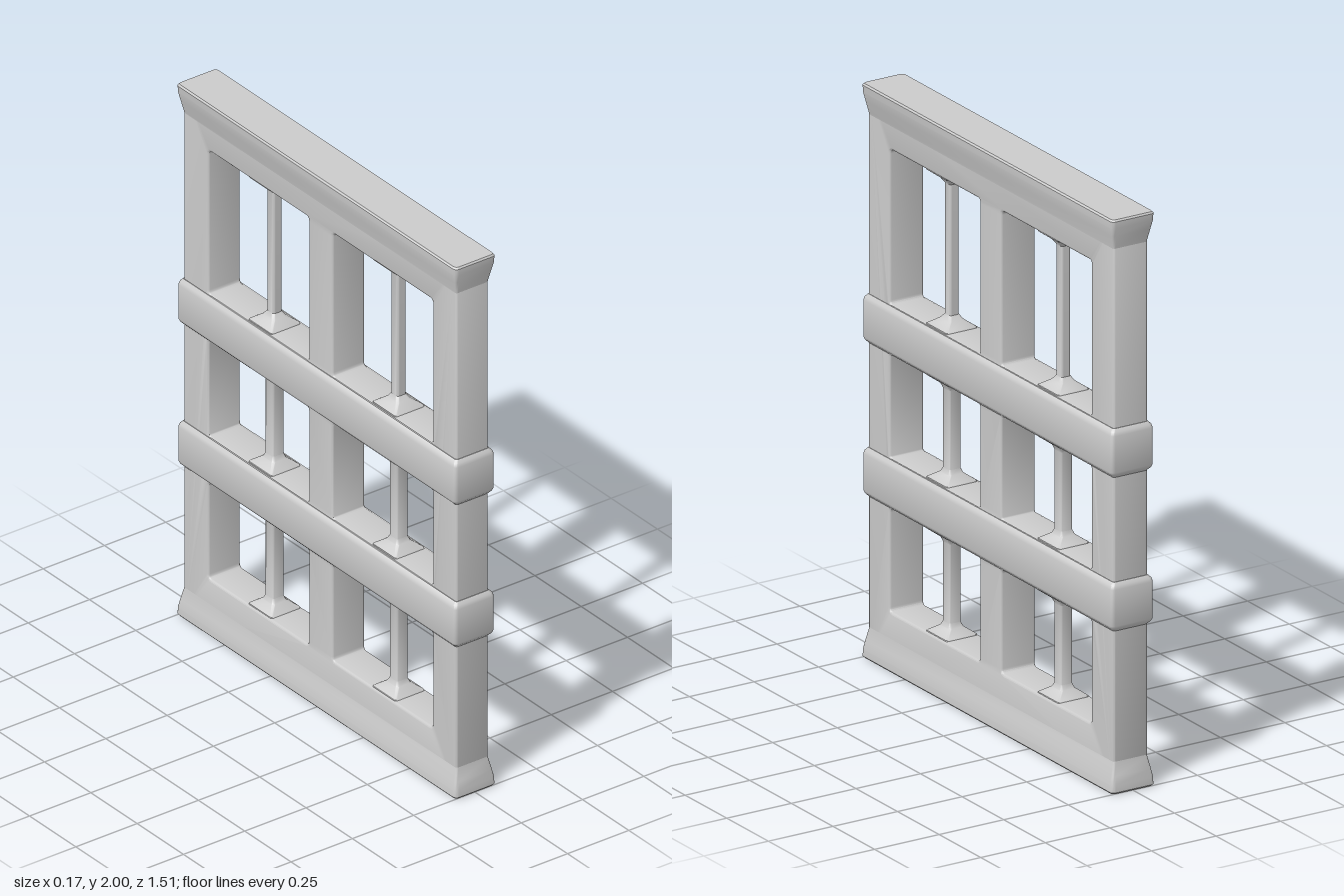
import * as THREE from 'three';
import { toCreasedNormals } from 'three/addons/utils/BufferGeometryUtils.js';

const material = new THREE.MeshStandardMaterial({ color: 0xcccccc });

// Closed solid through rounded-rectangle sections [y, halfX, halfZ, cornerRadius]
function loft(sections, name, z = 0) {
  const steps = 4, n = 4 * (steps + 1);
  const pos = [], index = [];
  for (const [y, hx, hz, r] of sections) {
    for (let c = 0; c < 4; c++) {
      const sx = c === 0 || c === 3 ? 1 : -1, sz = c < 2 ? 1 : -1;
      for (let s = 0; s <= steps; s++) {
        const a = (c + s / steps) * Math.PI / 2;
        pos.push(sx * (hx - r) + r * Math.cos(a), y, z + sz * (hz - r) + r * Math.sin(a));
      }
    }
  }
  for (let k = 0; k < sections.length - 1; k++) {
    for (let i = 0; i < n; i++) {
      const a = k * n + i, b = k * n + (i + 1) % n;
      index.push(a, a + n, b, b, a + n, b + n);
    }
  }
  const top = (sections.length - 1) * n;
  for (let i = 1; i < n - 1; i++) {
    index.push(0, i, i + 1, top, top + i + 1, top + i);
  }
  const geo = new THREE.BufferGeometry();
  geo.setAttribute('position', new THREE.Float32BufferAttribute(pos, 3));
  geo.setIndex(index);
  const mesh = new THREE.Mesh(toCreasedNormals(geo, 0.6), material);
  mesh.name = name;
  return mesh;
}

function roundedRect(path, x0, y0, x1, y1, r) {
  path.moveTo(x0 + r, y0);
  path.lineTo(x1 - r, y0);
  path.quadraticCurveTo(x1, y0, x1, y0 + r);
  path.lineTo(x1, y1 - r);
  path.quadraticCurveTo(x1, y1, x1 - r, y1);
  path.lineTo(x0 + r, y1);
  path.quadraticCurveTo(x0, y1, x0, y1 - r);
  path.lineTo(x0, y0 + r);
  path.quadraticCurveTo(x0, y0, x0 + r, y0);
  return path;
}

export function createModel() {
  const group = new THREE.Group();
  group.name = 'windowFrame';
  const rows = [[0.2, 0.56], [0.735, 1.095], [1.27, 1.81]];
  const columns = [[-0.602, -0.062], [0.068, 0.608]];

  // Lattice of stiles and rails with six openings
  const bevel = 0.008, half = 0.066;
  const shape = roundedRect(new THREE.Shape(), -0.737 + bevel, 0.02, 0.737 - bevel, 1.98, 0.005);
  for (const [y0, y1] of rows) {
    for (const [z0, z1] of columns) {
      shape.holes.push(roundedRect(new THREE.Path(), z0 - bevel, y0 - bevel, z1 + bevel, y1 + bevel, 0.022));
    }
  }
  const geo = new THREE.ExtrudeGeometry(shape, {
    depth: 2 * (half - bevel), bevelEnabled: true, bevelThickness: bevel,
    bevelSize: bevel, bevelSegments: 3, curveSegments: 4,
  });
  geo.translate(0, 0, -(half - bevel));
  geo.rotateY(-Math.PI / 2);
  const lattice = new THREE.Mesh(toCreasedNormals(geo, 0.6), material);
  lattice.name = 'lattice';
  group.add(lattice);

  // Flared foot and head rails
  group.add(loft([
    [0, 0.078, 0.75, 0.012], [0.006, 0.083, 0.755, 0.014], [0.03, 0.082, 0.754, 0.014],
    [0.06, 0.076, 0.748, 0.012], [0.1, 0.067, 0.738, 0.008], [0.12, 0.064, 0.735, 0.008],
  ], 'footRail'));
  group.add(loft([
    [1.88, 0.064, 0.735, 0.008], [1.9, 0.067, 0.738, 0.008], [1.94, 0.076, 0.747, 0.012],
    [1.97, 0.082, 0.754, 0.014], [1.994, 0.083, 0.755, 0.014], [2, 0.078, 0.75, 0.012],
  ], 'headRail'));

  // Raised cross bands
  for (const [y0, y1] of [[0.562, 0.733], [1.097, 1.268]]) {
    group.add(loft([
      [y0, 0.066, 0.737, 0.008], [y0 + 0.012, 0.078, 0.748, 0.012], [y0 + 0.022, 0.082, 0.752, 0.014],
      [y1 - 0.022, 0.082, 0.752, 0.014], [y1 - 0.01, 0.078, 0.748, 0.012], [y1, 0.068, 0.739, 0.008],
    ], 'crossBand'));
  }

  // Slim bars with flared ends, one in each opening
  rows.forEach(([y0, y1], row) => {
    const w = row === 2 ? 0.019 : 0.023;
    for (const [z0, z1] of columns) {
      group.add(loft([
        [y0 - 0.01, 0.062, 0.068, 0.008], [y0 + 0.003, 0.06, 0.063, 0.008],
        [y0 + 0.026, 0.029, 0.031, 0.01], [y0 + 0.042, w, w, 0.009],
        [y1 - 0.042, w, w, 0.009], [y1 - 0.026, 0.029, 0.031, 0.01],
        [y1 - 0.003, 0.06, 0.063, 0.008], [y1 + 0.01, 0.062, 0.068, 0.008],
      ], 'bar', (z0 + z1) / 2));
    }
  });
  return group;
}
